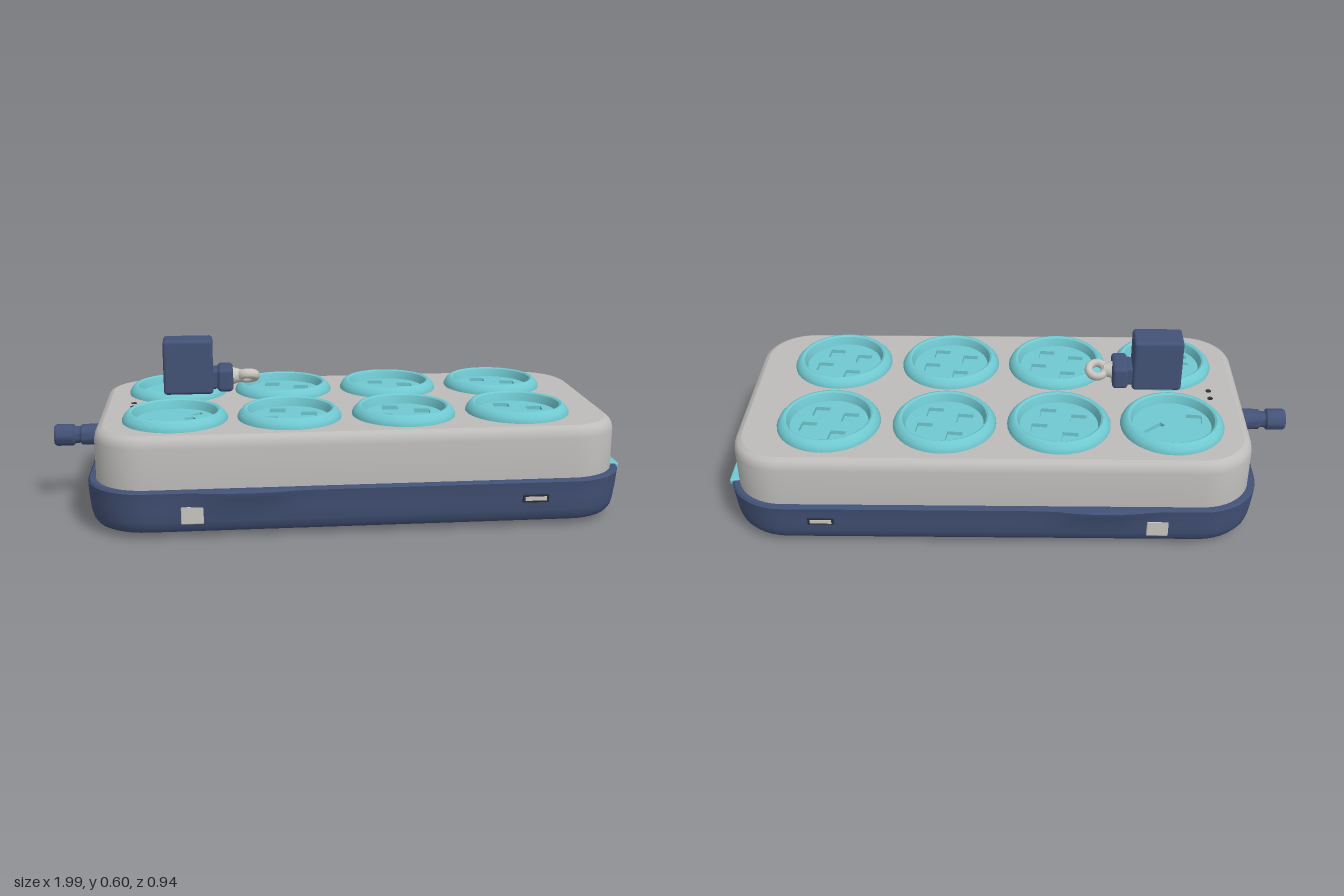
import * as THREE from 'three';
import { toCreasedNormals } from 'three/addons/utils/BufferGeometryUtils.js';
import { RoundedBoxGeometry } from 'three/addons/geometries/RoundedBoxGeometry.js';

const CX = 0.065, CZ = -0.005;
const mat = (name, color) => new THREE.MeshStandardMaterial({ name, color });

// Rounded rectangle outline as [x, z] pairs, running from +x towards +z
function outline(hx, hz, r, n = 10) {
  const pts = [];
  [[1, 1], [-1, 1], [-1, -1], [1, -1]].forEach(([sx, sz], q) => {
    for (let i = 0; i <= n; i++) {
      const a = (q + i / n) * Math.PI / 2;
      pts.push([CX + sx * (hx - r) + r * Math.cos(a), CZ + sz * (hz - r) + r * Math.sin(a)]);
    }
    // extra points along the straight side that follows this corner
    const len = 2 * ((q % 2 ? hz : hx) - r);
    const [x, z] = pts[pts.length - 1];
    const dir = [[-1, 0], [0, -1], [1, 0], [0, 1]][q];
    for (let i = 1; i < 20; i++) pts.push([x + dir[0] * len * i / 20, z + dir[1] * len * i / 20]);
  });
  return pts;
}

// Side wall through rings of [halfX, halfZ, radius, y], with optional bulge rule and caps
function loft(rings, { bulge = () => 0, bottom = false, top = false } = {}) {
  const pos = [], idx = [];
  let n = 0;
  const addRing = ([hx, hz, r, y]) => {
    const pts = outline(hx, hz, r);
    n = pts.length;
    pts.forEach(([x, z]) => pos.push(x, y, z + Math.sign(z - CZ) * bulge(x, y, z)));
  };
  rings.forEach(addRing);
  for (let i = 0; i < rings.length - 1; i++) {
    for (let j = 0; j < n; j++) {
      const k = (j + 1) % n, a = i * n, b = a + n;
      idx.push(a + j, b + j, a + k, a + k, b + j, b + k);
    }
  }
  const cap = (ring, up) => {
    const s = pos.length / 3;
    addRing(ring);
    pos.push(CX, ring[3], CZ);
    for (let j = 0; j < n; j++) {
      const k = (j + 1) % n;
      idx.push(s + n, s + (up ? k : j), s + (up ? j : k));
    }
  };
  if (bottom) cap(rings[0], false);
  if (top) cap(rings[rings.length - 1], true);
  const g = new THREE.BufferGeometry();
  g.setAttribute('position', new THREE.Float32BufferAttribute(pos, 3));
  g.setIndex(idx);
  return toCreasedNormals(g, 0.7);
}

export function createModel() {
  const root = new THREE.Group();
  root.name = 'powerStrip';
  const navy = mat('navy', 0x435277), grey = mat('light grey', 0xbdbcbb);
  const teal = mat('teal', 0x70c8d0), pale = mat('pale grey', 0xc9c6c0), dark = mat('dark', 0x2b2e36);

  const add = (name, geo, m, x = 0, y = 0, z = 0, parent = root) => {
    const mesh = new THREE.Mesh(geo, m);
    mesh.name = name;
    mesh.position.set(x, y, z);
    parent.add(mesh);
    return mesh;
  };

  // Lower tray, with a small lip swelling out on the long sides
  const swell = (x, y, z) => {
    if (Math.abs(z - CZ) < 0.4 || y < 0.13) return 0;
    return 0.018 * Math.max(0, 1 - ((x + 0.32) / 0.18) ** 2);
  };
  add('base', loft([
    [0.885, 0.405, 0.17, 0.018], [0.901, 0.421, 0.185, 0.024], [0.912, 0.433, 0.195, 0.04],
    [0.918, 0.44, 0.2, 0.065], [0.922, 0.445, 0.2, 0.11], [0.924, 0.45, 0.2, 0.15],
    [0.924, 0.454, 0.2, 0.168], [0.918, 0.448, 0.195, 0.176],
  ], { bulge: swell, bottom: true, top: true }), navy);

  // Upper shell wall with softened top edge
  add('shellWall', loft([
    [0.896, 0.436, 0.175, 0.17], [0.896, 0.436, 0.175, 0.315], [0.892, 0.432, 0.172, 0.334],
    [0.883, 0.423, 0.165, 0.347], [0.868, 0.408, 0.152, 0.354],
  ]), grey);

  // Shell top, open where the sockets sit
  const xs = [-0.56, -0.165, 0.235, 0.64], zs = [-0.205, 0.195];
  const face = new THREE.Shape(outline(0.868, 0.408, 0.152).map(([x, z]) => new THREE.Vector2(x, -z)));
  for (const x of xs) for (const z of zs) {
    face.holes.push(new THREE.Path().absarc(x, -z, 0.172, 0, Math.PI * 2, true));
  }
  add('shellTop', new THREE.ShapeGeometry(face, 24).rotateX(-Math.PI / 2), grey, 0, 0.354, 0);

  // Sockets: bevelled ring, recessed plate with pin slots, and slot bottoms
  const ring = toCreasedNormals(new THREE.LatheGeometry([
    [0.181, 0.345], [0.181, 0.36], [0.175, 0.372], [0.162, 0.386], [0.154, 0.388],
    [0.147, 0.384], [0.136, 0.352], [0.134, 0.33], [0, 0.33],
  ].map(p => new THREE.Vector2(...p)), 40), 0.6);

  const slot = (x, z, w, d, turn) => {
    const c = Math.cos(turn), s = Math.sin(turn);
    return new THREE.Path([[-1, -1], [-1, 1], [1, 1], [1, -1]].map(([u, v]) =>
      new THREE.Vector2(x + u * w / 2 * c - v * d / 2 * s, -z + u * w / 2 * s + v * d / 2 * c)));
  };
  const plate = slots => {
    const s = new THREE.Shape().absarc(0, 0, 0.139, 0, Math.PI * 2);
    s.holes = slots.map(p => slot(...p));
    return new THREE.ExtrudeGeometry(s, { depth: 0.014, bevelEnabled: false, curveSegments: 20 })
      .rotateX(-Math.PI / 2);
  };
  const fourSlots = plate([
    [-0.037, -0.08, 0.055, 0.055, -0.1], [0.07, -0.027, 0.055, 0.055, -0.1],
    [-0.07, 0.03, 0.055, 0.055, -0.1], [0.037, 0.068, 0.055, 0.055, -0.1],
  ]);
  const slitSlots = plate([[-0.08, 0.035, 0.055, 0.055, -0.1], [0.064, -0.022, 0.085, 0.022, 0.7]]);
  const pinHoles = plate([
    [-0.09, 0.01, 0.02, 0.02, 0], [-0.09, 0.06, 0.02, 0.02, 0], [0.02, 0.055, 0.022, 0.022, 0.3],
    [0.05, 0, 0.034, 0.03, 0.4], [0.075, -0.055, 0.04, 0.022, 0.7],
  ]);
  xs.forEach((x, i) => zs.forEach((z, j) => {
    const socket = new THREE.Group();
    socket.name = 'socket';
    socket.position.set(x, 0, z);
    root.add(socket);
    add('socketRing', ring, teal, 0, 0, 0, socket);
    add('socketPlate', i ? fourSlots : j ? pinHoles : slitSlots, teal, 0, 0.341, 0, socket);
  }));

  // Teal strip at the end of the tray
  add('endStrip', new RoundedBoxGeometry(0.036, 0.022, 0.6, 2, 0.006), teal, 0.974, 0.168, -0.01);

  // Ports on both long sides, each a pale plate with a dark opening
  for (const s of [1, -1]) {
    const wall = CZ + s * 0.443;
    add('squarePort', new RoundedBoxGeometry(0.075, 0.062, 0.009, 2, 0.004), pale, -0.505, 0.088, wall);
    add('slotPortFrame', new RoundedBoxGeometry(0.092, 0.03, 0.009, 2, 0.004), dark, 0.655, 0.11, wall + s * 0.001);
    add('slotPort', new THREE.BoxGeometry(0.074, 0.014, 0.009), pale, 0.655, 0.11, wall + s * 0.003);
  }

  // Indicator holes
  for (const z of [-0.035, 0.015]) {
    add('indicatorHole', new THREE.CylinderGeometry(0.01, 0.01, 0.003, 12), dark, -0.715, 0.355, z);
  }

  // Feet and underside seam
  const foot = new THREE.CylinderGeometry(0.053, 0.044, 0.022, 24);
  for (const x of [-0.69, 0.81]) for (const z of [0.295, -0.305]) add('foot', foot, navy, x, 0.011, z);
  add('undersideSeam', new THREE.BoxGeometry(0.016, 0.006, 0.8), navy, 0.37, 0.017, CZ);

  // Cable stub leaving the end
  const stub = toCreasedNormals(new THREE.LatheGeometry([
    [0, 0], [0.034, 0], [0.039, 0.008], [0.039, 0.066], [0.03, 0.074], [0.03, 0.09],
    [0.037, 0.098], [0.04, 0.18], [0, 0.18],
  ].map(p => new THREE.Vector2(...p)), 24), 0.6).rotateZ(-Math.PI / 2);
  add('cableStub', stub, navy, -1, 0.25, -0.01);

  // Loose plug above the sockets
  const plug = new THREE.Group();
  plug.name = 'plug';
  plug.position.set(0, 0, -0.005);
  root.add(plug);
  add('plugBody', new RoundedBoxGeometry(0.175, 0.196, 0.11, 3, 0.012), navy, -0.515, 0.5, 0, plug);
  add('plugNeck', new RoundedBoxGeometry(0.035, 0.07, 0.09, 2, 0.01), navy, -0.42, 0.453, 0, plug);
  add('plugCollar', new RoundedBoxGeometry(0.056, 0.084, 0.125, 3, 0.014), navy, -0.384, 0.453, 0, plug);
  add('plugTip', new THREE.CylinderGeometry(0.022, 0.034, 0.04, 16).rotateZ(-Math.PI / 2), pale, -0.345, 0.457, 0, plug);
  const loop = add('plugLoop', new THREE.TorusGeometry(0.028, 0.014, 10, 24), pale, -0.303, 0.456, 0, plug);
  loop.rotation.set(Math.PI / 2 - 0.5, 0, 0);
  loop.scale.set(1.05, 1, 1.3);

  return root;
}
